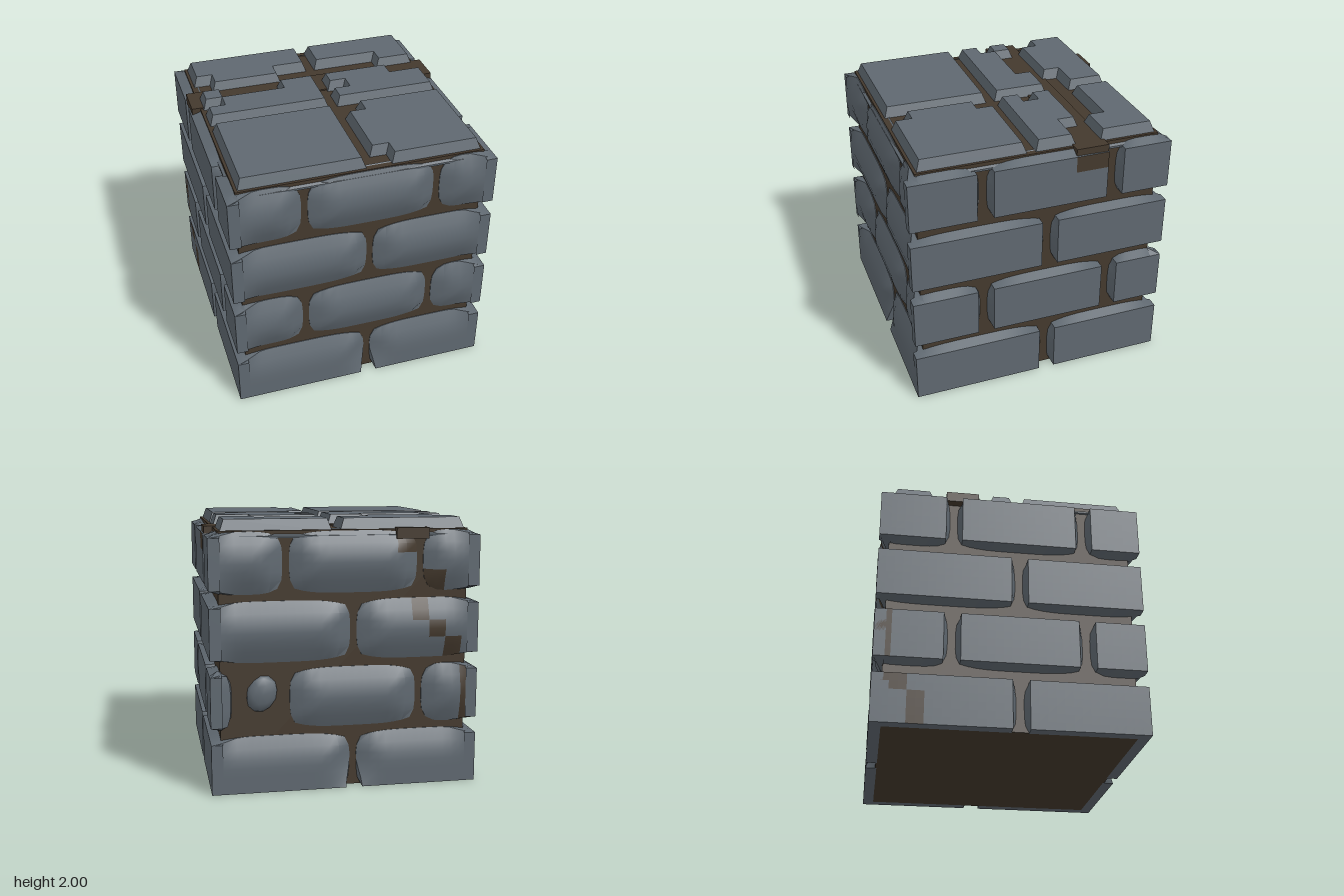
import * as THREE from 'three';
import { toCreasedNormals } from 'three/addons/utils/BufferGeometryUtils.js';

const stone = new THREE.MeshStandardMaterial({ color: 0x5f6870 });
stone.name = 'slate stone';
const mortar = new THREE.MeshStandardMaterial({ color: 0x44392d });
mortar.name = 'brown mortar';

const BASE = 0.915;   // depth where a brick meets the mortar
const SWELL = 0.038;  // how far a brick widens at its base
const STEP = 0.0625;  // grid size on a brick face

// One brick on a wall facing +z. Cushioned bricks round off toward their
// joints; cells inside a stain rectangle [u0, u1, v0, v1] take the mortar colour.
function brickGeometry(u0, u1, v0, v1, cushioned, stains) {
  const nu = Math.round((u1 - u0) / STEP), nv = Math.round((v1 - v0) / STEP);
  const barrel = (s) => 1 - Math.pow(2 * s - 1, 4);
  const openL = u0 > -1, openR = u1 < 1, openB = v0 > 0;

  const point = (i, j, atBase) => {
    const s = i / nu, t = j / nv;
    const u = u0 + (u1 - u0) * s, v = v0 + (v1 - v0) * t;
    let k = atBase ? 1 : 0;
    if (!atBase && cushioned) {
      const d = Math.min(openL ? u - u0 : 9, openR ? u1 - u : 9, openB ? v - v0 : 9, v1 - v);
      // the cube's outer edges stay sharp
      const corner = Math.min(1, (1 - Math.abs(u)) / 0.2, v / 0.2);
      k = Math.pow(Math.max(0, 1 - d / 0.19), 2) * Math.max(0, corner);
    }
    const a = 2 * s - 1, b = 2 * t - 1;
    const du = (a < 0 ? openL : openR) ? a * SWELL * barrel(t) * k : 0;
    const dv = b > 0 || openB ? b * SWELL * barrel(s) * k : 0;
    return [u + du, v + dv, atBase ? BASE : 1 - 0.07 * k];
  };

  const plain = [], stained = [];
  const quad = (out, a, b, c, d) => out.push(...a, ...b, ...c, ...a, ...c, ...d);

  // outer face
  for (let i = 0; i < nu; i++) {
    for (let j = 0; j < nv; j++) {
      const u = u0 + (i + 0.5) * STEP, v = v0 + (j + 0.5) * STEP;
      const hit = stains.some(([a, b, c, d]) => u > a && u < b && v > c && v < d);
      quad(hit ? stained : plain, point(i, j), point(i + 1, j), point(i + 1, j + 1), point(i, j + 1));
    }
  }
  // sloping sides down to the mortar
  const ring = [];
  for (let i = 0; i < nu; i++) ring.push([i, 0]);
  for (let j = 0; j < nv; j++) ring.push([nu, j]);
  for (let i = nu; i > 0; i--) ring.push([i, nv]);
  for (let j = nv; j > 0; j--) ring.push([0, j]);
  ring.forEach((p, n) => {
    const q = ring[(n + 1) % ring.length];
    quad(plain, point(...p, true), point(...q, true), point(...q), point(...p));
  });

  const geo = new THREE.BufferGeometry();
  geo.setAttribute('position', new THREE.Float32BufferAttribute([...plain, ...stained], 3));
  geo.addGroup(0, plain.length / 3, 0);
  if (stained.length) geo.addGroup(plain.length / 3, stained.length / 3, 1);
  geo.computeVertexNormals();
  return toCreasedNormals(geo, 0.6);
}

function addBox(group, name, material, x0, x1, y0, y1, z0, z1) {
  const mesh = new THREE.Mesh(new THREE.BoxGeometry(x1 - x0, y1 - y0, z1 - z0), material);
  mesh.position.set((x0 + x1) / 2, (y0 + y1) / 2, (z0 + z1) / 2);
  mesh.name = name;
  group.add(mesh);
}

export function createModel() {
  const model = new THREE.Group();
  model.name = 'brickBlock';

  addBox(model, 'mortarCore', mortar, -0.925, 0.925, 0.002, 1.92, -0.925, 0.925);

  // Walls: the same running bond on all four sides
  const evenRow = [[-1, 0], [0.125, 1]];
  const oddRow = [[-1, -0.5], [-0.375, 0.5], [0.625, 1]];
  const wallNames = ['frontWall', 'rightWall', 'backWall', 'leftWall'];
  const stains = [
    [],
    [[0.25, 0.5, 1.75, 1.9]],
    [[0.375, 0.625, 1.75, 1.9], [0.5, 0.625, 1.625, 1.75], [0.5, 0.75, 1.5, 1.625],
      [0.5, 0.625, 1.25, 1.375], [0.625, 0.75, 1.125, 1.25], [0.75, 0.875, 0.875, 1.125],
      [0.875, 1, 0.5, 0.9]],
    [[-1, -0.875, 0.5, 0.9], [-1, -0.875, 0.3, 0.375], [-0.875, -0.75, 0.25, 0.375],
      [-0.75, -0.625, 0, 0.25]],
  ];
  wallNames.forEach((name, side) => {
    const wall = new THREE.Group();
    wall.name = name;
    wall.rotation.y = side * Math.PI / 2;
    for (let row = 0; row < 4; row++) {
      (row % 2 ? oddRow : evenRow).forEach(([u0, u1], n) => {
        const broken = side === 2 && row === 1 && n === 0;
        const geo = brickGeometry(u0, broken ? -0.875 : u1, row * 0.5, row * 0.5 + 0.375,
          side % 2 === 0, stains[side]);
        const brick = new THREE.Mesh(geo, [stone, mortar]);
        brick.name = 'brick';
        wall.add(brick);
      });
    }
    model.add(wall);
  });

  // Remnant of the broken brick on the back
  const chip = new THREE.Mesh(new THREE.IcosahedronGeometry(0.14, 1), stone);
  chip.name = 'brickChip';
  chip.scale.set(0.8, 1, 0.4);
  chip.rotation.z = 0.4;
  chip.position.set(0.62, 0.73, -0.925);
  model.add(chip);

  // Sloping rim around the top
  const rim = new THREE.Mesh(
    new THREE.LatheGeometry([[0.945, 1.865], [0.945, 1.88], [0.87, 1.926], [0.87, 1.865], [0.945, 1.865]]
      .map(([r, y]) => new THREE.Vector2(r * Math.SQRT2, y)), 4, Math.PI / 4).toNonIndexed(), stone);
  rim.geometry.computeVertexNormals();
  rim.name = 'topRim';
  model.add(rim);

  // Mortar channel crossing the rim, and a stain at the back
  addBox(model, 'mortarChannel', mortar, -0.99, 0.99, 1.85, 1.93, -0.5, -0.25);
  addBox(model, 'rimStain', mortar, -0.62, -0.375, 1.85, 1.93, -0.97, -0.9);

  // Worn paving slabs on top, outlines as [x, z]
  const slabs = [
    [[-0.875, -0.875], [0, -0.875], [0, -0.625], [-0.25, -0.625], [-0.25, -0.5], [-0.75, -0.5],
      [-0.75, -0.625], [-0.875, -0.625]],
    [[0.125, -0.875], [0.875, -0.875], [0.875, -0.5], [0.625, -0.5], [0.625, -0.625], [0.125, -0.625]],
    [[-0.75, -0.25], [-0.25, -0.25], [-0.25, -0.375], [0, -0.375], [0, 0], [-0.875, 0],
      [-0.875, -0.125], [-0.75, -0.125]],
    [[-0.875, -0.375], [-0.75, -0.375], [-0.75, -0.25], [-0.875, -0.25]],
    [[0.125, -0.375], [0.625, -0.375], [0.625, -0.25], [0.875, -0.25], [0.875, 0], [0.125, 0],
      [0.125, -0.125], [0.25, -0.125], [0.25, -0.25], [0.125, -0.25]],
    [[-0.875, 0.125], [0, 0.125], [0, 0.875], [-0.875, 0.875]],
    [[0.25, 0.125], [0.875, 0.125], [0.875, 0.875], [0.25, 0.875], [0.25, 0.75], [0.125, 0.75],
      [0.125, 0.25], [0.25, 0.25]],
  ];
  slabs.forEach((outline) => {
    const shape = new THREE.Shape(outline.map(([x, z]) => new THREE.Vector2(x, -z)));
    const geo = new THREE.ExtrudeGeometry(shape, {
      depth: 0.001, bevelEnabled: true, bevelThickness: 0.09, bevelSize: 0.032, bevelSegments: 1,
    });
    geo.rotateX(-Math.PI / 2);
    const slab = new THREE.Mesh(geo, stone);
    slab.position.y = 1.909;
    slab.name = 'topSlab';
    model.add(slab);
  });

  return model;
}
